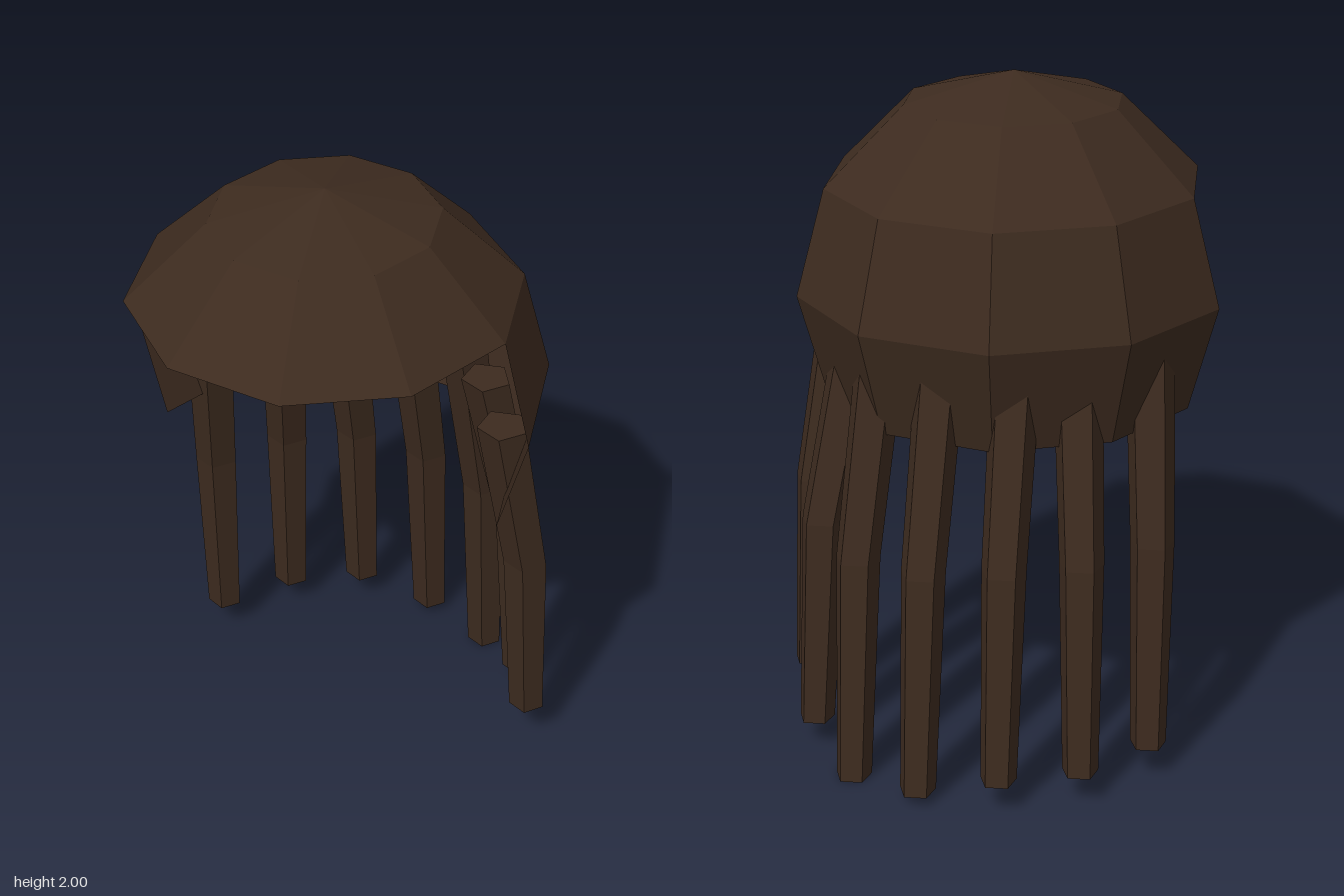
import * as THREE from 'three';

const hair = new THREE.MeshStandardMaterial({ color: 0x3d2b1f, flatShading: true, side: THREE.DoubleSide });
hair.name = 'dark brown hair';

// Part of the low-poly scalp dome, stretched to its size
function domePart(name, segments, phiStart, phiLength, thetaStart) {
  const geo = new THREE.SphereGeometry(1, segments, 2, phiStart, phiLength, thetaStart, Math.PI / 3);
  geo.scale(0.636, 0.63, 0.65);
  geo.translate(0, 1.37, 0.103);
  const mesh = new THREE.Mesh(geo, hair);
  mesh.name = name;
  return mesh;
}

// Five-sided tapering lock that follows three level sections: top, knee, tip
function lock(name, sections) {
  const geo = new THREE.CylinderGeometry(1, 1, 2, 5, 2, false, Math.PI / 2);
  const p = geo.attributes.position;
  for (let i = 0; i < p.count; i++) {
    const [x, y, z, r] = sections[1 - Math.round(p.getY(i))];
    p.setXYZ(i, x + p.getX(i) * r, y, z + p.getZ(i) * r);
  }
  geo.computeVertexNormals();
  const mesh = new THREE.Mesh(geo, hair);
  mesh.name = name;
  return mesh;
}

export function createModel() {
  const model = new THREE.Group();
  model.name = 'hair';

  // Crown all round, and the lower half shell behind
  model.add(domePart('crown', 10, 0, Math.PI * 2, 0));
  model.add(domePart('backShell', 5, Math.PI, Math.PI, Math.PI / 3));

  // Locks from the side to the back: [x, z] at top, knee and tip
  const paths = [
    [[0.485, -0.05], [0.54, -0.143], [0.556, -0.18]],
    [[0.34, -0.235], [0.408, -0.357], [0.428, -0.396]],
    [[0.207, -0.36], [0.228, -0.49], [0.233, -0.538]],
    [[0, -0.405], [0, -0.535], [0, -0.588]],
  ];
  const tips = [0.1, 0.09, 0.09, 0.03, 0, 0.08, 0.15]; // heights from right to left
  const radii = [0.074, 0.067, 0.055];
  tips.forEach((tip, i) => {
    const side = Math.sign(i - 3);
    const levels = [1.29, tip + 0.53 * (1.29 - tip), tip];
    const path = paths[3 - Math.abs(i - 3)];
    model.add(lock('hairLock' + (i + 1),
      path.map(([x, z], k) => [side * x, levels[k], z, radii[k]])));
  });
  return model;
}
